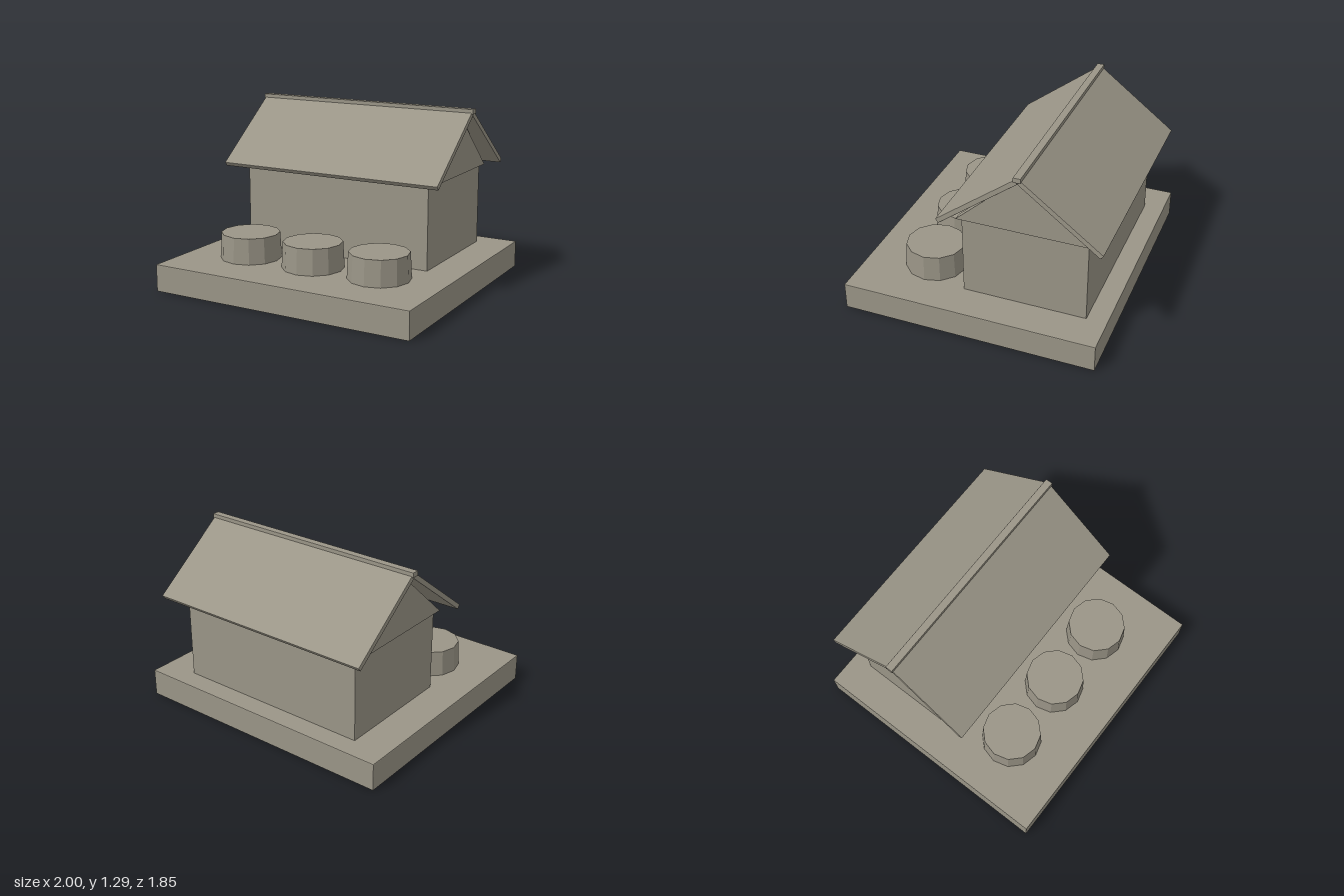
import * as THREE from 'three';
import { RoundedBoxGeometry } from 'three/addons/geometries/RoundedBoxGeometry.js';

const stone = new THREE.MeshStandardMaterial({ color: 0x9a9587, flatShading: true });
stone.name = 'warm grey';

const HOUSE_Z = -0.327; // centre line of the house, below the ridge

function add(parent, name, geometry, x, y, z) {
  const mesh = new THREE.Mesh(geometry, stone);
  mesh.name = name;
  mesh.position.set(x, y, z);
  parent.add(mesh);
  return mesh;
}

// Box with a small chamfer on every edge
const block = (w, h, d, bevel = 0.006) => new RoundedBoxGeometry(w, h, d, 1, bevel);

export function createModel() {
  const model = new THREE.Group();
  model.name = 'cottage';

  // Ground slab and walls
  add(model, 'base', block(2, 0.2, 1.85), 0, 0.1, 0);
  add(model, 'walls', block(1.48, 0.61, 0.9), 0, 0.495, HOUSE_Z);

  // Thin gable plates at both ends, slightly proud of the walls
  const triangle = new THREE.Shape();
  triangle.moveTo(-0.48, 0);
  triangle.lineTo(0.48, 0);
  triangle.lineTo(0, 0.435);
  triangle.closePath();
  const thick = 0.06;
  const gable = new THREE.ExtrudeGeometry(triangle, { depth: thick, bevelEnabled: false });
  gable.translate(0, 0, -thick / 2);
  gable.rotateY(Math.PI / 2);
  for (const side of [-1, 1]) {
    add(model, side > 0 ? 'leftGable' : 'rightGable', gable, side * 0.738, 0.8, HOUSE_Z);
  }

  // Sloping roof slabs, placed from eave to ridge
  const pitch = 0.65, slab = 0.036, length = 0.705;
  const ridgeY = 1.234; // underside of the slabs at the ridge
  for (const side of [-1, 1]) {
    const out = Math.cos(pitch) * length / 2 + Math.sin(pitch) * slab / 2;
    const up = -Math.sin(pitch) * length / 2 + Math.cos(pitch) * slab / 2;
    const roof = add(model, side > 0 ? 'frontRoof' : 'backRoof',
      block(1.73, slab, length, 0.004), 0, ridgeY + up, HOUSE_Z + side * out);
    roof.rotation.x = side * pitch;
  }
  add(model, 'ridgeCap', block(1.75, 0.036, 0.054, 0.004), 0, 1.268, HOUSE_Z);

  // Row of twelve-sided tapered tubs in front
  const tub = new THREE.CylinderGeometry(0.212, 0.222, 0.19, 12);
  for (const x of [-0.525, 0, 0.525]) add(model, 'tub', tub, x, 0.293, 0.425);

  return model;
}
